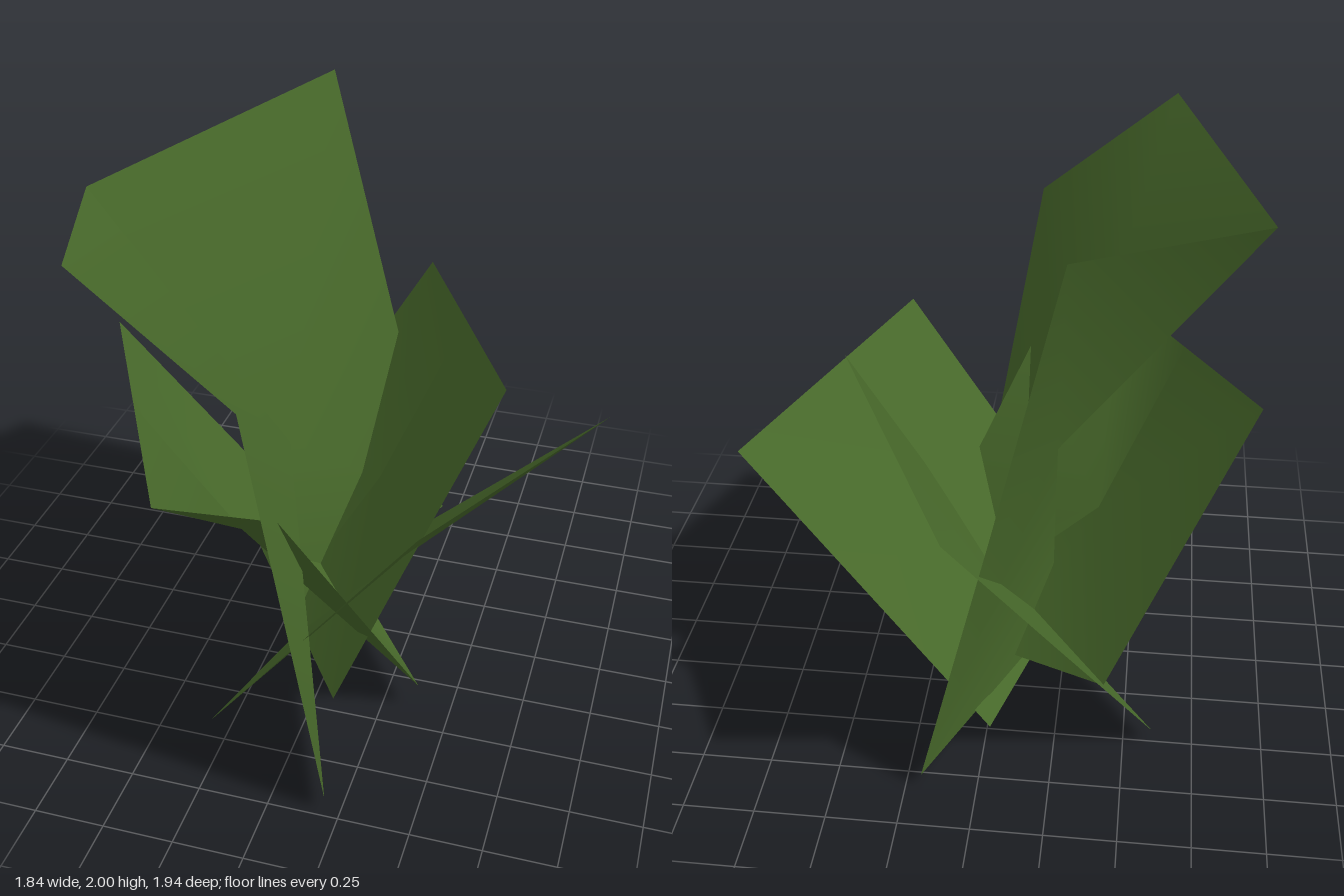
import * as THREE from 'three';

const leafGreen = new THREE.MeshStandardMaterial({ color: 0x47682a, side: THREE.DoubleSide });
leafGreen.name = 'leafGreen';

// Half of a leaf between its outer edge and its midrib (three points each, tip to root);
// the facets fan out from the middle of the midrib
function halfLeaf(name, edge, midrib) {
  const geometry = new THREE.BufferGeometry();
  geometry.setAttribute('position', new THREE.Float32BufferAttribute([...edge, ...midrib].flat(), 3));
  geometry.setIndex([0, 4, 3, 0, 1, 4, 1, 2, 4, 2, 5, 4]);
  geometry.computeVertexNormals();
  const mesh = new THREE.Mesh(geometry, leafGreen);
  mesh.name = name;
  return mesh;
}

// Leaf made of two halves joined along the midrib
function leaf(name, edgeA, midrib, edgeB) {
  const group = new THREE.Group();
  group.name = name;
  group.add(halfLeaf('frontHalf', edgeA, midrib), halfLeaf('backHalf', edgeB, midrib));
  return group;
}

export function createModel() {
  const plant = new THREE.Group();
  plant.name = 'plant';
  plant.add(
    // Tall, sharply folded leaf
    leaf('tallLeaf',
      [[-0.57, 1.95, 0.97], [-0.06, 1.54, 0.97], [0.195, 0.05, 0.97]],
      [[-0.92, 1.79, 0.08], [-0.2, 0.87, 0.08], [-0.19, 0.05, 0.08]],
      [[-0.27, 2.0, -0.75], [-0.04, 1.02, -0.78], [0.195, 0.05, -0.815]]),
    // Leaf leaning to the back
    leaf('backLeaf',
      [[0.585, 1.22, 0.08], [0.3, 0.56, 0.31], [0.08, 0.04, 0.48]],
      [[0.333, 1.185, -0.445], [0.06, 0.56, -0.23], [-0.263, 0.045, -0.01]],
      [[0.08, 1.15, -0.97], [-0.26, 0.6, -0.735], [-0.605, 0.05, -0.5]]),
    // Cupped leaf leaning to the right
    leaf('rightLeaf',
      [[-0.38, 1.11, 0.92], [-0.04, 0.97, 0.7], [0.38, 0.1, 0.39]],
      [[-0.65, 1.145, 0.42], [-0.355, 0.535, 0.21], [0.19, 0.09, 0.125]],
      [[-0.92, 1.18, -0.08], [-0.42, 0.23, -0.48], [0, 0.08, -0.14]]),
    // Nearly flat leaf leaning to the left
    leaf('leftLeaf',
      [[0.46, 1.09, 0.83], [0.065, 0.545, 0.75], [-0.33, 0, 0.67]],
      [[0.69, 1.035, 0.295], [0.26, 0.518, 0.193], [-0.17, 0, 0.09]],
      [[0.92, 0.98, -0.24], [0.455, 0.49, -0.365], [-0.01, 0, -0.49]]),
  );
  return plant;
}
